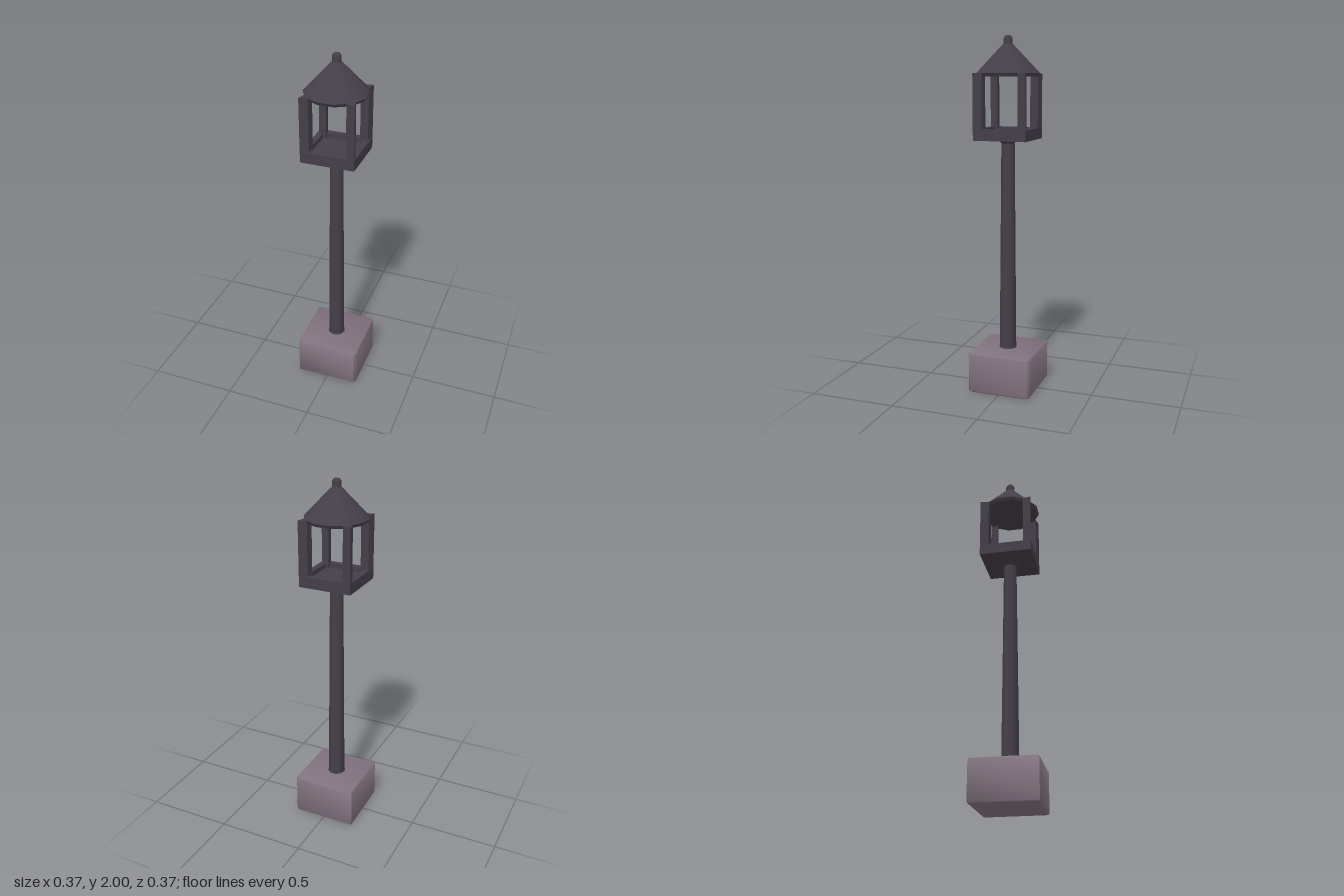
import * as THREE from 'three';
import { toCreasedNormals } from 'three/addons/utils/BufferGeometryUtils.js';

const iron = new THREE.MeshStandardMaterial({ color: 0x443e49 });
iron.name = 'darkIron';
const stone = new THREE.MeshStandardMaterial({ color: 0x82737f });
stone.name = 'mauveStone';

// Extrude a plan outline (x, z pairs) upwards from y0 to y1
function prism(points, y0, y1, bevel = 0) {
  const shape = new THREE.Shape(points.map(([x, z]) => new THREE.Vector2(x, -z)));
  const geo = new THREE.ExtrudeGeometry(shape, {
    depth: y1 - y0 - 2 * bevel, bevelEnabled: bevel > 0,
    bevelSize: bevel, bevelOffset: -bevel, bevelThickness: bevel, bevelSegments: 1,
  });
  return geo.rotateX(-Math.PI / 2).translate(0, y0 + bevel, 0);
}

export function createModel() {
  const group = new THREE.Group();
  group.name = 'lampPost';
  const add = (name, geo, mat = iron) => {
    const mesh = new THREE.Mesh(geo, mat);
    mesh.name = name;
    group.add(mesh);
    return mesh;
  };
  // Tapered round part between two heights
  const taper = (name, rTop, rBottom, y0, y1, sides) => add(name, toCreasedNormals(
    new THREE.CylinderGeometry(rTop, rBottom, y1 - y0, sides)
      .rotateY(Math.PI / sides).translate(0, (y0 + y1) / 2, 0), 0.9));

  // Slightly irregular stone block, chamfered on its left side
  add('base', toCreasedNormals(prism([
    [-0.185, -0.184], [0.168, -0.184], [0.181, -0.172], [0.184, 0.158], [0.173, 0.177], [-0.176, 0.181],
  ], 0, 0.232, 0.007), 0.9), stone);

  // Pole with collars at both ends
  taper('poleFoot', 0.047, 0.055, 0.225, 0.24, 10);
  taper('pole', 0.037, 0.048, 0.23, 1.43, 10);
  taper('poleCollar', 0.065, 0.037, 1.415, 1.44, 10);

  // Lantern tray: floor plate and four rim rails
  const floor = new THREE.BoxGeometry(0.3, 0.035, 0.3);
  add('lanternFloor', floor).position.y = 1.4525;
  for (let i = 0; i < 4; i++) {
    const rail = add('lanternRail', new THREE.BoxGeometry(0.3, 0.062, 0.034));
    const a = i * Math.PI / 2;
    rail.position.set(Math.sin(a) * 0.133, 1.466, Math.cos(a) * 0.133);
    rail.rotation.y = a;
  }

  // Kite-shaped corner posts
  for (let i = 0; i < 4; i++) {
    const post = add('lanternPost', prism(
      [[0.15, 0.15], [0.14, 0.102], [0.097, 0.097], [0.102, 0.14]], 1.46, 1.795));
    post.rotation.y = i * Math.PI / 2;
  }

  // Twelve-sided roof with a thin eave and a rounded finial
  taper('roofEave', 0.176, 0.166, 1.777, 1.795, 12);
  taper('roof', 0.024, 0.176, 1.795, 1.955, 12);
  const finial = new THREE.LatheGeometry([
    [0.024, 1.94], [0.026, 1.982], [0.018, 1.995], [0, 2],
  ].map(([r, y]) => new THREE.Vector2(r, y)), 8);
  add('finial', finial);

  return group;
}
